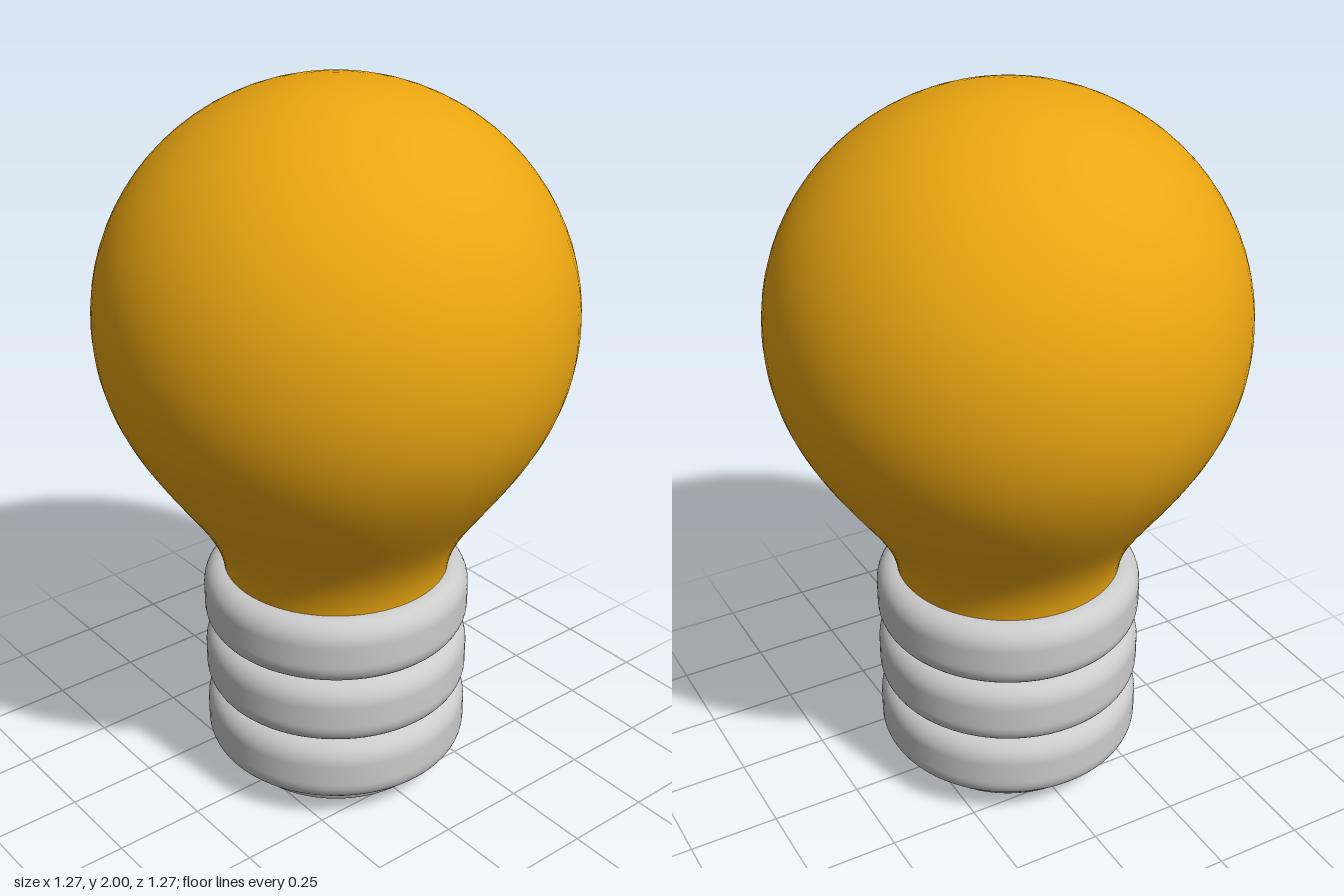
import * as THREE from 'three';

const SIDES = 72;
const glass = new THREE.MeshStandardMaterial({ color: 0xeba611 });
const metal = new THREE.MeshStandardMaterial({ color: 0xcccccc });

// Spin a path of (radius, height), drawn from bottom to top, around the y axis
function spin(name, path, material, divisions) {
  const mesh = new THREE.Mesh(new THREE.LatheGeometry(path.getPoints(divisions), SIDES), material);
  mesh.name = name;
  return mesh;
}

// Band with rounded upper and lower edges
function bandPath(radius, height, inner, round) {
  const path = new THREE.Path();
  path.moveTo(inner, 0);
  path.lineTo(radius - round, 0);
  path.bezierCurveTo(radius - round * 0.4, 0, radius, round * 0.5, radius, round * 1.1);
  path.lineTo(radius, height - round * 1.1);
  path.bezierCurveTo(radius, height - round * 0.5, radius - round * 0.4, height, radius - round, height);
  path.lineTo(inner, height);
  return path;
}

export function createModel() {
  const model = new THREE.Group();
  model.name = 'lightBulb';

  // Glass: flared neck, swelling shoulder, round crown
  const bulb = new THREE.Path();
  bulb.moveTo(0.312, 0.63);
  bulb.bezierCurveTo(0.322, 0.74, 0.385, 0.82, 0.45, 0.91);
  bulb.bezierCurveTo(0.55, 1.05, 0.635, 1.18, 0.635, 1.38);
  bulb.bezierCurveTo(0.635, 1.722, 0.351, 2, 0, 2);
  model.add(spin('glassBulb', bulb, glass, 20));

  // Screw base: three stacked rounded bands
  const screwBase = new THREE.Group();
  screwBase.name = 'screwBase';
  const bandHeight = 0.193;
  for (let i = 0; i < 3; i++) {
    const band = spin(`screwBand${i + 1}`, bandPath(0.372, bandHeight, 0.27, 0.06), metal, 10);
    band.position.y = 0.07 + i * bandHeight;
    screwBase.add(band);
  }
  model.add(screwBase);

  // Contact foot: shallow rounded cap closing the bottom
  const foot = new THREE.Path();
  foot.moveTo(0, 0);
  foot.lineTo(0.2, 0.003);
  foot.bezierCurveTo(0.26, 0.006, 0.3, 0.018, 0.3, 0.05);
  foot.lineTo(0.3, 0.08);
  model.add(spin('contactFoot', foot, metal, 10));

  return model;
}
